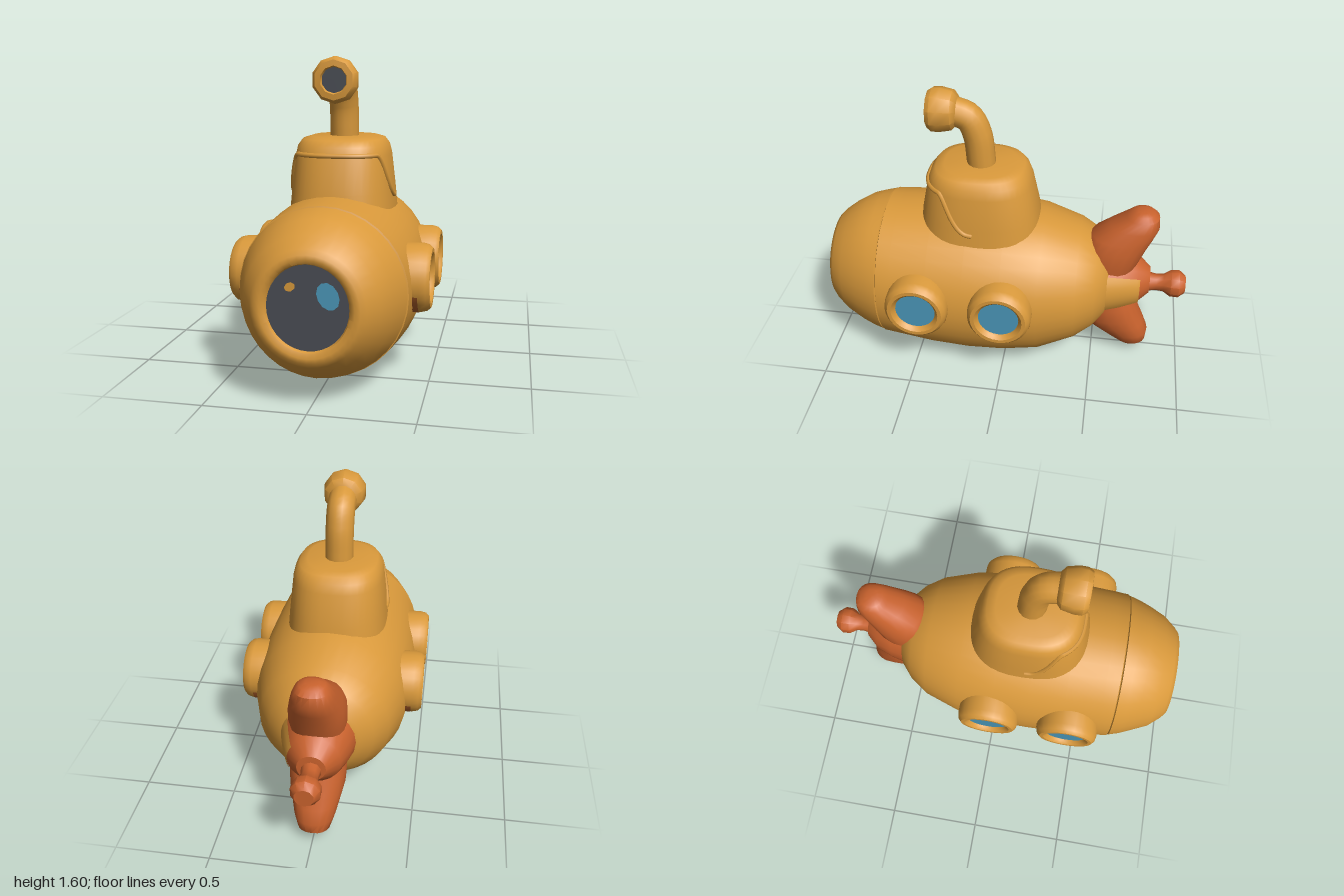
import * as THREE from 'three';
import { toCreasedNormals } from 'three/addons/utils/BufferGeometryUtils.js';

const paint = (name, color) => Object.assign(new THREE.MeshStandardMaterial({ color }), { name });

// Skin a list of rings (counterclockwise around the travel direction), with optional end caps
function skin(rings, capStart, capEnd) {
  const n = rings[0].length, pos = rings.flat(2), idx = [];
  for (let i = 0; i < rings.length - 1; i++) {
    for (let j = 0; j < n; j++) {
      const a = i * n + j, b = i * n + (j + 1) % n;
      idx.push(a, b, b + n, a, b + n, a + n);
    }
  }
  const cap = (start, flip) => {
    const ring = rings[start / n], c = pos.length / 3;
    pos.push(...[0, 1, 2].map(k => ring.reduce((s, p) => s + p[k], 0) / n));
    for (let j = 0; j < n; j++) {
      const a = start + j, b = start + (j + 1) % n;
      flip ? idx.push(c, b, a) : idx.push(c, a, b);
    }
  };
  if (capStart) cap(0, true);
  if (capEnd) cap((rings.length - 1) * n, false);
  const g = new THREE.BufferGeometry();
  g.setAttribute('position', new THREE.Float32BufferAttribute(pos, 3));
  g.setIndex(idx);
  return toCreasedNormals(g, 0.75);
}

const range = n => Array.from({ length: n }, (_, i) => i);
const spow = (v, p) => Math.sign(v) * Math.abs(v) ** (2 / p);

// Hull ring: [z, centre y, x radius, y radius]
const hullRing = ([z, cy, rx, ry], n = 36) => range(n).map(i => {
  const t = i / n * Math.PI * 2;
  return [rx * Math.cos(t), cy + ry * Math.sin(t), z];
});

// Upright ring: [y, centre z, x radius, z radius] with superellipse power p
const uprightPoint = ([y, cz, rx, rz], t, p) => [rx * spow(Math.sin(t), p), y, cz + rz * spow(Math.cos(t), p)];
const uprightRing = (s, p, n) => range(n).map(i => uprightPoint(s, i / n * Math.PI * 2, p));

// Turned part from [radius, height] pairs, height increasing
const turned = (pts, n, start = 0, len = Math.PI * 2) =>
  toCreasedNormals(new THREE.LatheGeometry(pts.map(p => new THREE.Vector2(...p)), n, start, len), 0.75);

export function createModel() {
  const yellow = paint('hullYellow', 0xd9993b);
  const orange = paint('finOrange', 0xc9622d);
  const blue = paint('glassBlue', 0x4b97b8);
  const dark = paint('darkGlass', 0x4a4d54);
  const rust = paint('rimRust', 0xb0602a);
  rust.side = orange.side = THREE.DoubleSide;

  const model = new THREE.Group();
  model.name = 'submarine';
  const add = (name, geo, mat, parent = model) => {
    const m = new THREE.Mesh(geo, mat);
    m.name = name;
    parent.add(m);
    return m;
  };

  // Main hull, tail to seam
  add('hull', skin([
    [-0.59, 0.5, 0.14, 0.13], [-0.56, 0.495, 0.21, 0.21], [-0.5, 0.487, 0.28, 0.28],
    [-0.4, 0.477, 0.35, 0.345], [-0.2, 0.465, 0.415, 0.425], [0, 0.463, 0.44, 0.453],
    [0.2, 0.463, 0.445, 0.46], [0.4, 0.467, 0.44, 0.45], [0.6, 0.477, 0.425, 0.43],
    [0.675, 0.48, 0.418, 0.423], [0.682, 0.48, 0.4, 0.405],
  ].map(s => hullRing(s)), true, false), yellow);

  // Nose cap with rolled window rim
  add('nose', skin([
    [0.675, 0.48, 0.395, 0.4], [0.685, 0.48, 0.412, 0.418], [0.74, 0.481, 0.395, 0.405],
    [0.81, 0.484, 0.365, 0.383], [0.9, 0.486, 0.325, 0.325], [0.965, 0.486, 0.27, 0.275],
    [0.987, 0.487, 0.245, 0.25], [0.99, 0.488, 0.22, 0.228], [0.98, 0.49, 0.198, 0.206],
    [0.95, 0.49, 0.185, 0.195],
  ].map(s => hullRing(s)), false, false), yellow);

  // Front window and its painted reflections
  const disc = (name, mat, x, y, z, rx, ry, tilt = 0, seg = 32) => {
    const g = new THREE.CircleGeometry(1, seg).scale(rx, ry, 1).rotateZ(tilt).translate(x, y, z);
    return add(name, g, mat);
  };
  disc('frontWindow', dark, 0, 0.49, 0.965, 0.195, 0.205);
  disc('blueReflection', blue, 0.095, 0.55, 0.969, 0.05, 0.066, 0.45, 12);
  disc('yellowReflection', yellow, -0.08, 0.585, 0.969, 0.027, 0.021, 0.5, 7);

  // Conning tower
  const towerPower = 2.6;
  const tower = [
    [0.78, 0.15, 0.278, 0.335], [0.92, 0.15, 0.265, 0.318], [1.1, 0.152, 0.246, 0.28],
    [1.15, 0.153, 0.234, 0.262], [1.183, 0.153, 0.21, 0.235], [1.195, 0.153, 0.17, 0.19],
  ];
  add('tower', skin(tower.map(s => uprightRing(s, towerPower, 40)), false, true), yellow);

  // Visor edge following the tower wall, dropping at the sides
  const visor = range(41).map(i => {
    const t = (i / 20 - 1) * 1.56;
    const y = 1.11 - 0.22 * THREE.MathUtils.smoothstep(Math.abs(t), 0.9, 1.56);
    const k = (y - 0.92) / 0.18;
    const mix = (a, b) => a + (b - a) * k;
    return new THREE.Vector3(...uprightPoint([y, 0.151, mix(0.265, 0.246), mix(0.318, 0.28)], t, towerPower));
  });
  add('visorEdge', new THREE.TubeGeometry(new THREE.CatmullRomCurve3(visor), 80, 0.013, 6), yellow);

  // Periscope
  const path = new THREE.CatmullRomCurve3(
    [[1.12, 0.145], [1.22, 0.15], [1.36, 0.167], [1.45, 0.21], [1.485, 0.3]].map(([y, z]) => new THREE.Vector3(0, y, z)));
  add('periscopeTube', new THREE.TubeGeometry(path, 20, 0.077, 14), yellow);
  const head = new THREE.Group();
  head.name = 'periscopeHead';
  head.position.set(0, 1.485, 0.345);
  model.add(head);
  add('periscopeHousing', turned([[0, -0.08], [0.075, -0.08], [0.105, -0.055], [0.118, 0.01], [0.117, 0.05],
    [0.1, 0.074], [0.07, 0.077], [0.06, 0.05]], 10).rotateX(Math.PI / 2), yellow, head);
  add('periscopeLens', new THREE.CircleGeometry(0.064, 16).translate(0, 0, 0.062), dark, head);

  // Portholes, two on each side
  const rim = [[0.172, 0.34], [0.172, 0.455], [0.165, 0.485], [0.148, 0.503], [0.128, 0.503], [0.112, 0.488], [0.103, 0.46]];
  for (const side of [1, -1]) {
    for (const z of [0.44, -0.01]) {
      const port = new THREE.Group();
      port.name = side > 0 ? 'leftPorthole' : 'rightPorthole';
      port.position.set(0, 0.52, z);
      port.rotation.y = side > 0 ? 0 : Math.PI;
      model.add(port);
      add('portholeRim', turned(rim, 28).rotateZ(-Math.PI / 2), yellow, port);
      add('portholeGlass', new THREE.CircleGeometry(0.108, 28).rotateY(Math.PI / 2).translate(0.478, 0, 0), blue, port);
      add('portholeUnderside', turned([[0.1745, 0.38], [0.1745, 0.447]], 14, 0.35, 2.44).rotateZ(-Math.PI / 2), rust, port);
    }
  }

  // Tail hub with a yellow patch on its left side
  const hub = [[0, -0.805], [0.075, -0.8], [0.14, -0.73], [0.175, -0.64], [0.2, -0.54]];
  add('tailHub', turned(hub, 20).rotateX(Math.PI / 2).translate(0, 0.495, 0), orange);
  const patch = [[0.134, -0.745], [0.144, -0.73], [0.179, -0.64], [0.202, -0.56]];
  add('hubPatch', turned(patch, 8, Math.PI / 2 - 0.62, 1.25).rotateX(Math.PI / 2).translate(0, 0.495, 0), yellow);

  // Propeller shaft and knob
  add('propellerKnob', turned([[0, -1], [0.05, -1], [0.077, -0.965], [0.075, -0.92], [0.05, -0.88],
    [0.046, -0.84], [0.057, -0.78]], 10).rotateX(Math.PI / 2).translate(0, 0.483, 0), orange);

  // Tail fins, upper and lower
  const fin = skin([
    [0.5, -0.54, 0.13, 0.13], [0.65, -0.575, 0.15, 0.155], [0.74, -0.595, 0.145, 0.17],
    [0.8, -0.628, 0.13, 0.165], [0.87, -0.688, 0.11, 0.133], [0.93, -0.727, 0.088, 0.088],
    [0.955, -0.727, 0.065, 0.06], [0.965, -0.725, 0.035, 0.03],
  ].map(s => uprightRing(s, 2.3, 20)), false, true);
  add('upperFin', fin, orange);
  const lower = add('lowerFin', fin, orange);
  lower.rotation.z = Math.PI;
  lower.position.y = 1;

  return model;
}
